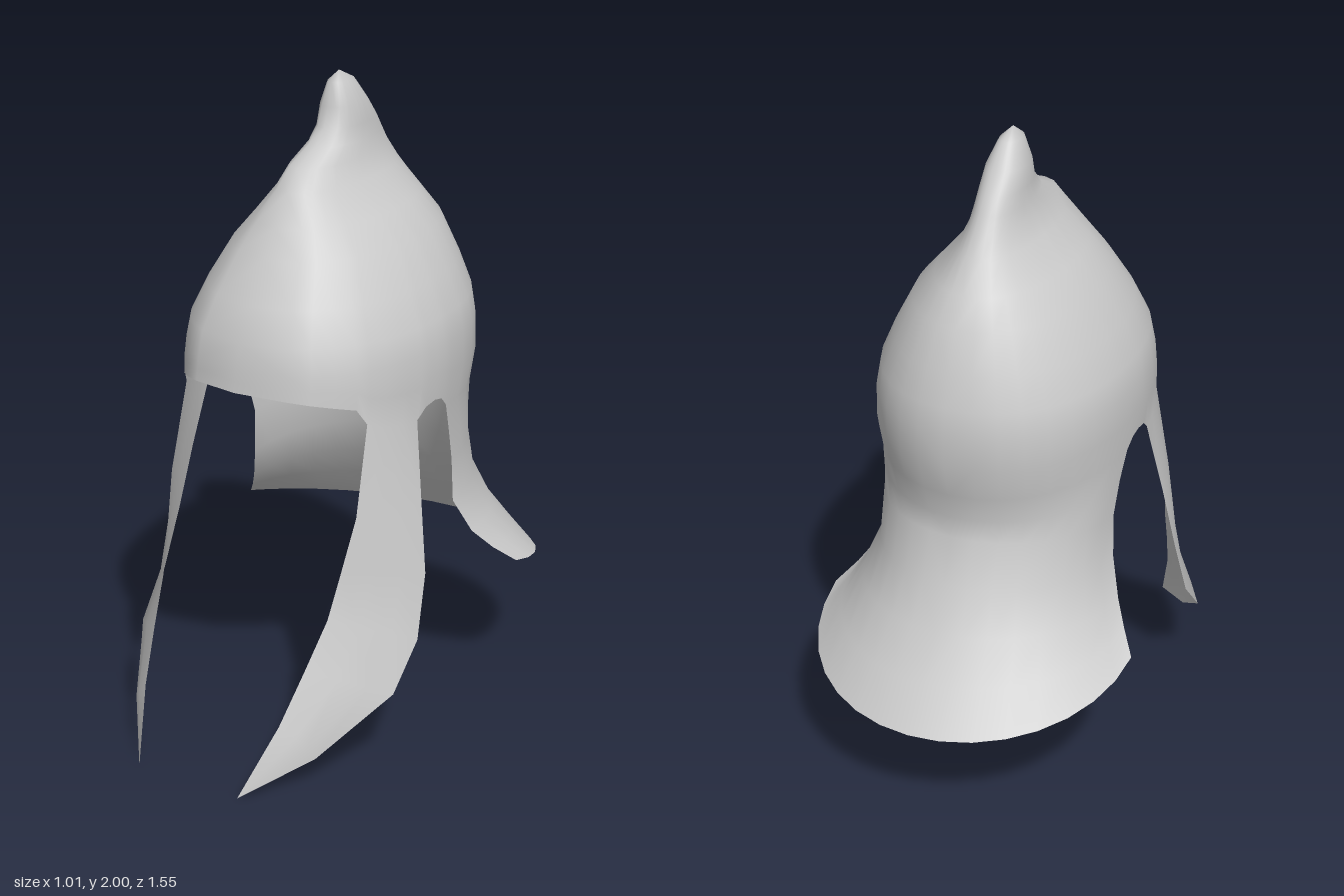
import * as THREE from 'three';

const lerp = THREE.MathUtils.lerp;

// Dome cross-sections from the tip down: [height, front z, back z, half width]
const LEVELS = [
  [2.0, -0.04, -0.04, 0], [1.97, 0.0, -0.1, 0.032], [1.9, 0.02, -0.155, 0.06],
  [1.84, 0.04, -0.205, 0.066], [1.795, 0.085, -0.235, 0.074], [1.75, 0.18, -0.265, 0.088],
  [1.69, 0.235, -0.31, 0.115], [1.6, 0.3, -0.375, 0.19], [1.52, 0.355, -0.43, 0.26],
  [1.4, 0.435, -0.475, 0.325], [1.3, 0.485, -0.505, 0.37], [1.22, 0.5, -0.515, 0.385],
  [1.155, 0.51, -0.52, 0.39], [1.08, 0.512, -0.51, 0.388], [1.0, 0.515, -0.485, 0.38],
];
const LAST_FULL_LEVEL = 11;

// Rim columns on the left half, front to back: [z at rim, rim height]
const BROW = [[0.52, 1.155], [0.485, 1.148], [0.45, 1.138], [0.4, 1.125], [0.345, 1.11]];
const CHEEK = [[0.31, 1.06], [0.25, 1.035], [0.18, 1.025], [0.11, 1.02]];
const EAR = [[0.075, 1.052], [0.03, 1.06], [-0.01, 1.052]];
const NECK_STEPS = 8;
const NECK = Array.from({ length: NECK_STEPS + 1 }, (_, i) => {
  const u = i / NECK_STEPS;
  return [-0.05 - 0.45 * Math.sin(u * Math.PI / 2), lerp(1.02, 1.0, u)];
});
const COLUMNS = [...BROW, ...CHEEK, ...EAR, ...NECK];
const CHEEK_START = BROW.length;
const NECK_START = COLUMNS.length - NECK.length;

// Cheek guard rows: rear edge point, front edge point
const CHEEK_ROWS = [
  [[0.42, 0.78, 0.15], [0.335, 0.79, 0.375]],
  [[0.455, 0.57, 0.18], [0.315, 0.62, 0.43]],
  [[0.47, 0.38, 0.245], [0.3, 0.49, 0.475]],
  [[0.465, 0.25, 0.37], [0.275, 0.35, 0.56]],
  [[0.33, 0.09, 0.585], [0.245, 0.2, 0.65]],
  [[0.18, 0, 0.775], [0.18, 0, 0.775]],
];

// Neck guard rows: side edge point, then [height, z] at the middle of the back
const NECK_ROWS = [
  [[0.372, 0.93, -0.08], [0.92, -0.473]],
  [[0.366, 0.82, -0.11], [0.85, -0.472]],
  [[0.37, 0.68, -0.115], [0.71, -0.525]],
  [[0.41, 0.57, -0.165], [0.58, -0.59]],
  [[0.455, 0.505, -0.22], [0.455, -0.684]],
  [[0.505, 0.45, -0.28], [0.33, -0.775]],
];

// Point on the dome at height y, for the column that meets the rim at zRim
function domePoint(zRim, y) {
  let i = 0;
  while (i < LEVELS.length - 2 && LEVELS[i + 1][0] > y) i++;
  const a = LEVELS[i], b = LEVELS[i + 1];
  const t = (a[0] - y) / (a[0] - b[0]);
  const [zf, zb, w] = [1, 2, 3].map((k) => lerp(a[k], b[k], t));
  const c = THREE.MathUtils.clamp((zRim - 0.01) / 0.51, -1, 1);
  const x = w * Math.pow(1 - Math.pow(Math.abs(c), 2.2), 1 / 2.2);
  return [x, y, (zf + zb) / 2 + c * (zf - zb) / 2];
}

function domeRows() {
  const rows = LEVELS.slice(0, LAST_FULL_LEVEL + 1).map(([y]) => COLUMNS.map(([z]) => domePoint(z, y)));
  const lowest = LEVELS[LAST_FULL_LEVEL][0];
  for (const t of [0.5, 1]) rows.push(COLUMNS.map(([z, rim]) => domePoint(z, lerp(lowest, rim, t))));
  // close the halves exactly on the centre line
  for (const row of rows) row[0][0] = row[row.length - 1][0] = 0;
  return rows;
}

function cheekRows(rim) {
  const n = CHEEK.length;
  const rows = [rim.slice(CHEEK_START, CHEEK_START + n)];
  for (const [rear, front] of CHEEK_ROWS) {
    const bulge = rear[0] === front[0] ? 0 : 0.06;
    rows.push(CHEEK.map((_, j) => {
      const s = j / (n - 1);
      const p = front.map((v, k) => lerp(v, rear[k], s));
      p[0] += bulge * s * (1 - s);
      return p;
    }));
  }
  return rows;
}

function neckRows(rim) {
  const rows = [rim.slice(NECK_START)];
  for (const [side, [yBack, zBack]] of NECK_ROWS) {
    rows.push(NECK.map((_, j) => {
      const u = j / NECK_STEPS, a = u * Math.PI / 2;
      const x = j === NECK_STEPS ? 0 : side[0] * Math.cos(a);
      return [x, lerp(side[1], yBack, 1 - (1 - u) ** 2), lerp(side[2], zBack, Math.sin(a))];
    }));
  }
  return rows;
}

export function createModel() {
  const positions = [], lookup = new Map();
  // All parts share one set of vertices so shading flows across their seams
  const vertex = (x, y, z) => {
    const key = [x, y, z].map((v) => Math.round(v * 1e4)).join();
    if (!lookup.has(key)) {
      lookup.set(key, positions.length / 3);
      positions.push(x, y, z);
    }
    return lookup.get(key);
  };
  const skin = (rows, side) => {
    const ids = rows.map((row) => row.map(([x, y, z]) => vertex(x * side, y, z)));
    const index = [];
    const tri = (a, b, c) => {
      if (a === b || b === c || a === c) return;
      index.push(...(side > 0 ? [a, b, c] : [a, c, b]));
    };
    for (let i = 0; i < ids.length - 1; i++) {
      for (let j = 0; j < ids[i].length - 1; j++) {
        const a = ids[i][j], b = ids[i + 1][j], c = ids[i + 1][j + 1], d = ids[i][j + 1];
        tri(a, b, c);
        tri(a, c, d);
      }
    }
    return index;
  };

  const dome = domeRows();
  const rim = dome[dome.length - 1];
  const cheek = cheekRows(rim), neck = neckRows(rim);
  const parts = {
    dome: [...skin(dome, 1), ...skin(dome, -1)],
    neckGuard: [...skin(neck, 1), ...skin(neck, -1)],
    leftCheekGuard: skin(cheek, 1),
    rightCheekGuard: skin(cheek, -1),
  };

  const whole = new THREE.BufferGeometry();
  whole.setAttribute('position', new THREE.Float32BufferAttribute(positions, 3));
  whole.setIndex(Object.values(parts).flat());
  whole.computeVertexNormals();

  const material = new THREE.MeshStandardMaterial({ color: 0xcccccc, side: THREE.DoubleSide });
  const group = new THREE.Group();
  group.name = 'helmet';
  for (const [name, index] of Object.entries(parts)) {
    const geometry = new THREE.BufferGeometry();
    geometry.setAttribute('position', whole.attributes.position);
    geometry.setAttribute('normal', whole.attributes.normal);
    geometry.setIndex(index);
    const mesh = new THREE.Mesh(geometry, material);
    mesh.name = name;
    group.add(mesh);
  }
  return group;
}
